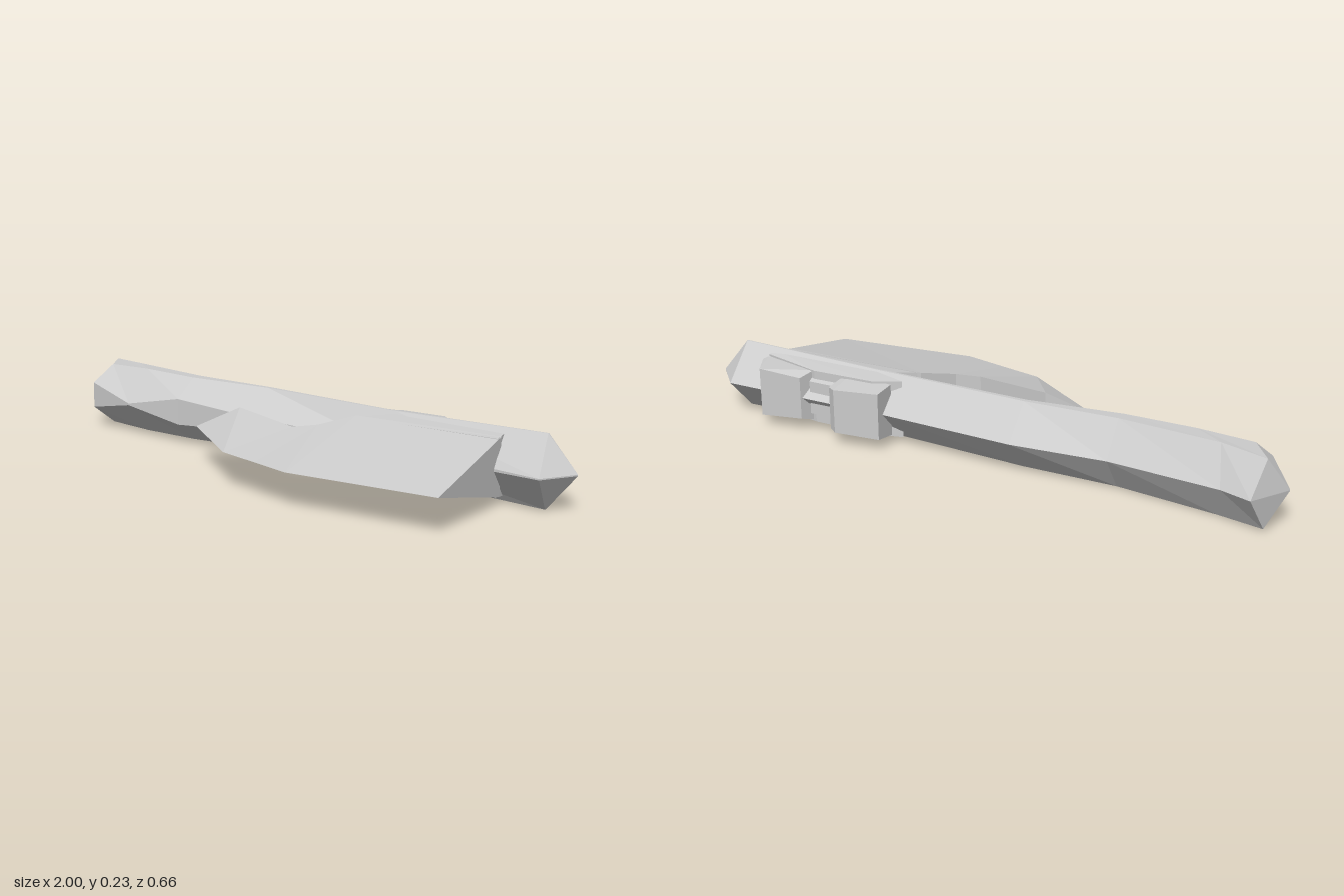
import * as THREE from 'three';
import { ConvexGeometry } from 'three/addons/geometries/ConvexGeometry.js';

const MID = 0.115; // height of the plane of symmetry

// Flat-shaded skin through rings of equal point count, closed at both ends
function loft(rings) {
  const pos = [];
  const tri = (a, b, c) => pos.push(...a, ...b, ...c);
  const n = rings[0].length;
  for (let i = 0; i < rings.length - 1; i++) {
    for (let j = 0; j < n; j++) {
      const k = (j + 1) % n, r = rings[i], s = rings[i + 1];
      tri(r[j], s[j], r[k]);
      tri(r[k], s[j], s[k]);
    }
  }
  const first = rings[0], last = rings[rings.length - 1];
  for (let j = 1; j < n - 1; j++) {
    tri(first[0], first[j], first[j + 1]);
    tri(last[0], last[j + 1], last[j]);
  }
  const g = new THREE.BufferGeometry();
  g.setAttribute('position', new THREE.Float32BufferAttribute(pos, 3));
  g.computeVertexNormals();
  return g;
}

// Convex lump mirrored above and below the middle plane, from [x, z, halfHeight]
function lump(points) {
  const v = [];
  for (const [x, z, h] of points) {
    v.push(new THREE.Vector3(x, MID + h, z));
    if (h > 0) v.push(new THREE.Vector3(x, MID - h, z));
  }
  return new ConvexGeometry(v);
}

export function createModel() {
  const group = new THREE.Group();
  const stone = new THREE.MeshStandardMaterial({ color: 0xcccccc, flatShading: true });
  stone.name = 'light grey';
  const add = (name, geometry) => {
    const mesh = new THREE.Mesh(geometry, stone);
    mesh.name = name;
    group.add(mesh);
  };

  // Handle sections: front [x, z, halfHeight], front ridge [x, z, h], rear ridge [x, z], back [x, z]
  const sections = [
    [[-1, -0.195, 0.002], [-1, -0.195, 0.002], [-1, -0.195], [-1, -0.195]],
    [[-0.91, -0.09, 0.045], [-0.88, -0.16, 0.107], [-0.95, -0.255], [-0.93, -0.32]],
    [[-0.69, -0.05, 0.003], [-0.70, -0.155, 0.112], [-0.80, -0.22], [-0.83, -0.29]],
    [[-0.47, -0.072, 0.045], [-0.47, -0.15, 0.109], [-0.47, -0.19], [-0.47, -0.265]],
    [[-0.16, -0.085, 0.025], [-0.16, -0.185, 0.107], [-0.16, -0.20], [-0.16, -0.295]],
    [[0.35, -0.11, 0.01], [0.37, -0.172, 0.104], [0.35, -0.18], [0.30, -0.28]],
    [[0.94, -0.075, 0.002], [0.91, -0.17, 0.114], [0.91, -0.174], [0.90, -0.288]],
    [[1, -0.19, 0.002], [1, -0.19, 0.002], [1, -0.19], [1, -0.19]],
  ];
  add('handle', loft(sections.map(([f, r, q, b]) => [
    [f[0], MID + f[2], f[1]],
    [r[0], MID + r[2], r[1]],
    [q[0], MID + r[2], q[1]],
    [b[0], MID, b[1]],
    [q[0], MID - r[2], q[1]],
    [r[0], MID - r[2], r[1]],
    [f[0], MID - f[2], f[1]],
  ])));

  // Blade wedge: cutting edge x, z, then thick side x, z, half thickness
  const blade = [
    [-0.27, 0.05, -0.27, 0.05, 0],
    [-0.10, 0.165, -0.14, -0.02, 0.07],
    [0.04, 0.26, 0.13, 0.04, 0.055],
    [0.19, 0.293, 0.20, 0, 0.065],
    [0.34, 0.327, 0.27, -0.10, 0.088],
    [0.83, 0.27, 0.78, -0.13, 0.091],
  ];
  add('blade', loft(blade.map(([ex, ez, bx, bz, h]) => [
    [ex, MID, ez], [bx, MID + h, bz], [bx, MID - h, bz],
  ])));

  // Socket that joins the blade to the handle
  add('socket', lump([
    [0.27, -0.09, 0.085], [0.78, -0.11, 0.088],
    [0.38, -0.18, 0.097], [0.77, -0.175, 0.097],
  ]));

  // Thin binding that wraps the back of the handle
  add('binding', lump([
    [0.27, -0.21, 0.095], [0.40, -0.18, 0.1], [0.78, -0.175, 0.1],
    [0.80, -0.20, 0.092], [0.58, -0.25, 0.088], [0.36, -0.245, 0.09],
  ]));

  // Lumps on the back of the head
  add('innerLump', lump([
    [0.30, -0.23, 0.085], [0.46, -0.22, 0.085], [0.48, -0.235, 0.08],
    [0.30, -0.305, 0.076], [0.45, -0.33, 0.072], [0.48, -0.31, 0.07],
  ]));
  add('middleLump', lump([
    [0.46, -0.21, 0.075], [0.60, -0.21, 0.075],
    [0.48, -0.265, 0.055], [0.59, -0.265, 0.055],
  ]));
  add('outerLump', lump([
    [0.59, -0.24, 0.085], [0.80, -0.195, 0.085], [0.81, -0.22, 0.08],
    [0.61, -0.29, 0.07], [0.76, -0.303, 0.08],
  ]));

  return group;
}
